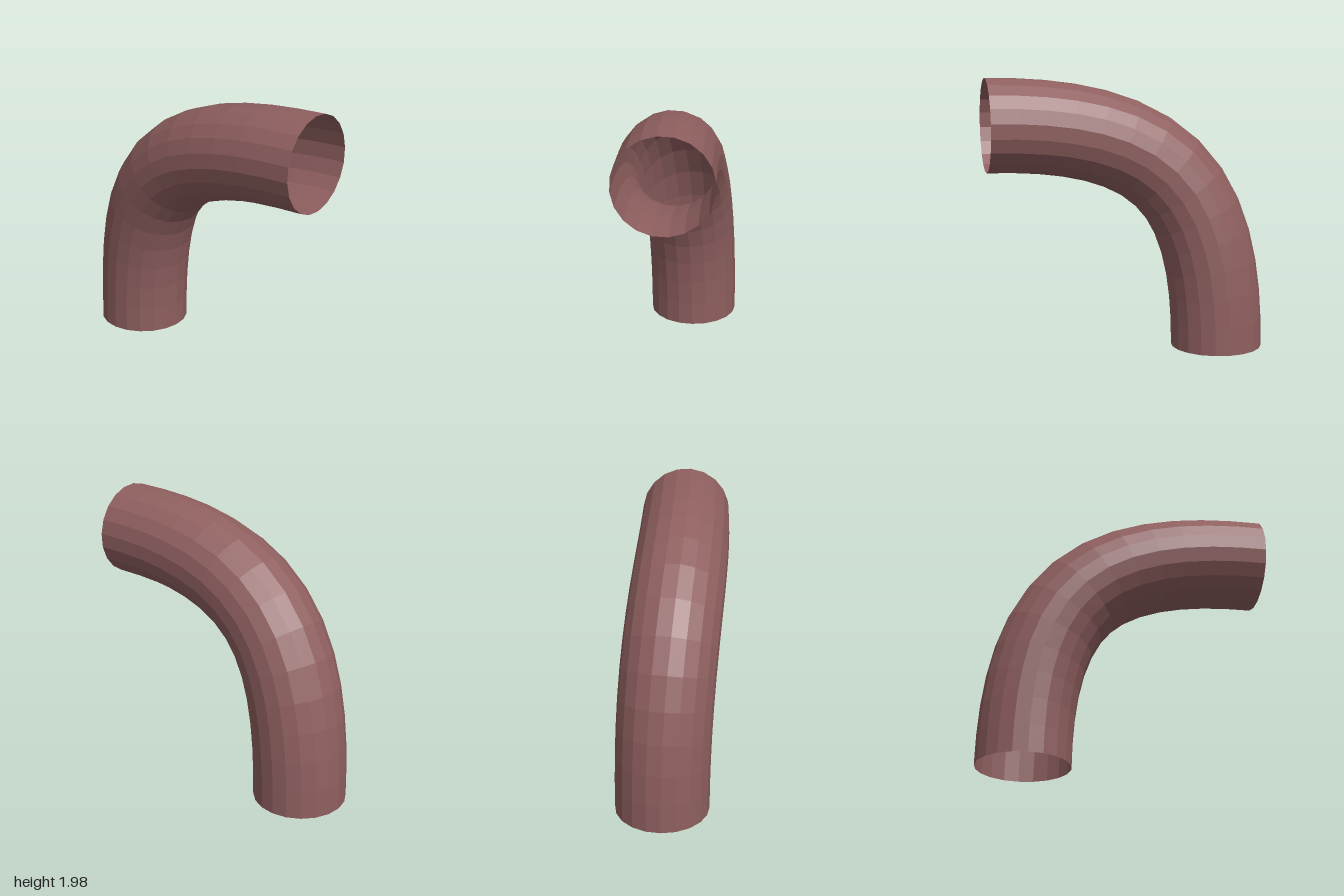
import * as THREE from 'three';

export function createModel() {
  const group = new THREE.Group();
  group.name = 'bentPipe';

  // centre line: rises from the floor at the back, bends forward, drifts sideways
  const path = new THREE.CubicBezierCurve3(
    new THREE.Vector3(0.067, 0, -0.667),
    new THREE.Vector3(0.067, 1.23, -0.667),
    new THREE.Vector3(-0.08, 1.645, -0.25),
    new THREE.Vector3(-0.068, 1.645, 1)
  );

  // hollow pipe wall, open at both ends
  const pipe = new THREE.Mesh(
    new THREE.TubeGeometry(path, 14, 0.333, 20, false),
    new THREE.MeshStandardMaterial({ color: 0x8f5f5f, flatShading: true, side: THREE.DoubleSide })
  );
  pipe.name = 'pipe';
  group.add(pipe);
  return group;
}
